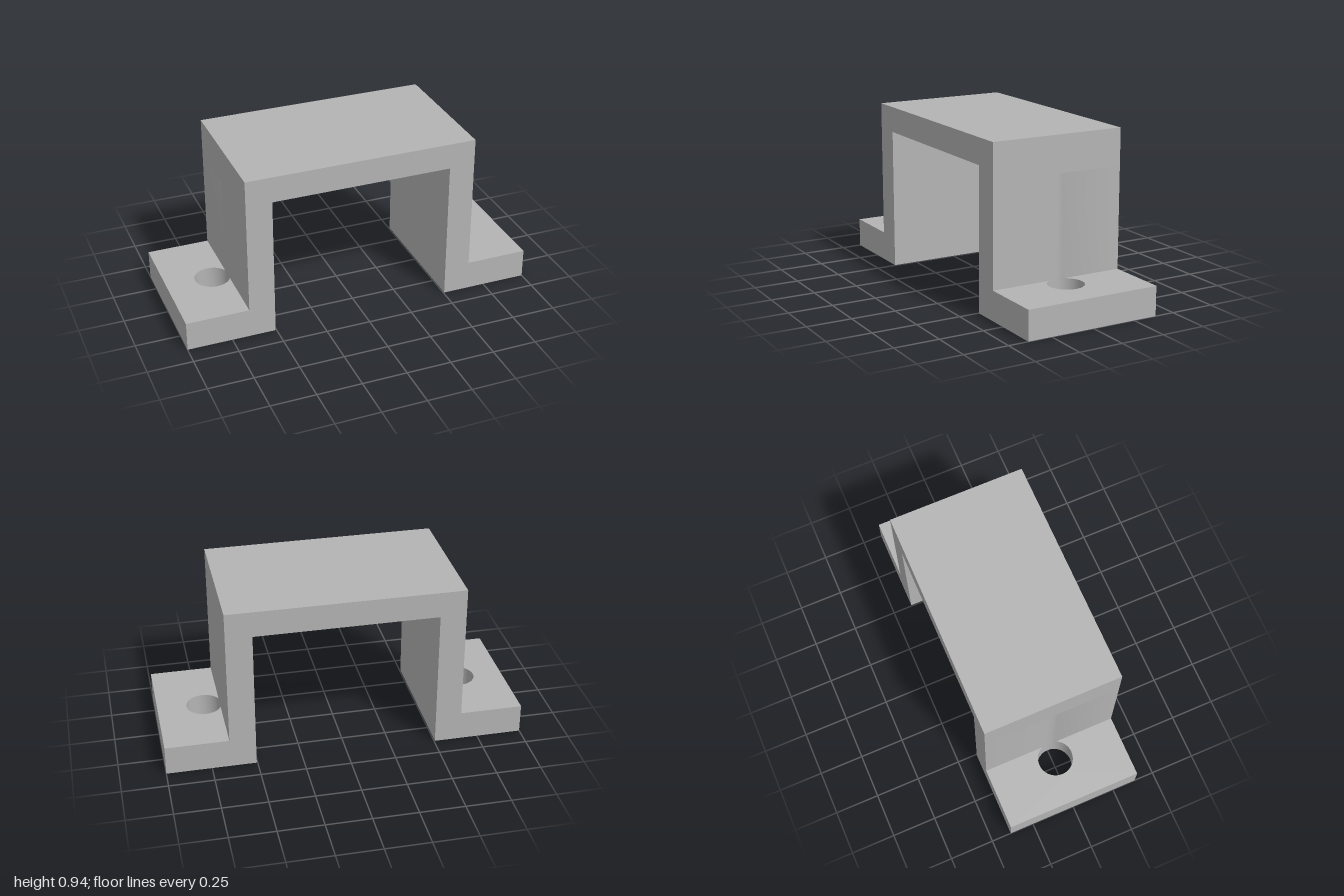
import * as THREE from 'three';
import { toCreasedNormals } from 'three/addons/utils/BufferGeometryUtils.js';

const DEPTH = 0.387;                       // half depth
const INNER = 0.505, OUTER = 0.65;         // faces of the upright walls
const FOOT = 0.165, NOTCH = 0.735, UNDER = 0.795, TOP = 0.94;
const HOLE_X = 0.738, HOLE_R = 0.0985;

const polygon = (pts) => new THREE.Shape(pts.map(([x, y]) => new THREE.Vector2(x, y)));

// Extrude a plan shape upwards from y0 to y1
function slab(shape, y0, y1) {
  const geo = new THREE.ExtrudeGeometry(shape, { depth: y1 - y0, bevelEnabled: false, curveSegments: 24 });
  geo.rotateX(-Math.PI / 2).translate(0, y0, 0);
  return toCreasedNormals(geo, 0.6);
}

export function createModel() {
  const group = new THREE.Group();
  const metal = new THREE.MeshStandardMaterial({ color: 0xb4b4b4 });
  metal.name = 'bracket grey';

  // Foot plate with a round bolt hole
  const footShape = polygon([[INNER, -DEPTH], [1, -DEPTH], [1, DEPTH], [INNER, DEPTH]]);
  const hole = new THREE.Path();
  hole.absarc(HOLE_X, 0, HOLE_R, 0, Math.PI * 2, true);
  footShape.holes.push(hole);
  const footGeo = slab(footShape, 0, FOOT);

  // Upright wall with a shallow groove continuing the hole upwards
  const half = Math.acos((HOLE_X - OUTER) / HOLE_R);
  const wallShape = new THREE.Shape();
  wallShape.moveTo(INNER, -DEPTH);
  wallShape.lineTo(OUTER, -DEPTH);
  wallShape.absarc(HOLE_X, 0, HOLE_R, Math.PI + half, Math.PI - half, true);
  wallShape.lineTo(OUTER, DEPTH);
  wallShape.lineTo(INNER, DEPTH);
  wallShape.closePath();
  const wallGeo = slab(wallShape, FOOT, NOTCH);

  // Left leg, and the right one turned half round
  for (const side of ['left', 'right']) {
    const leg = new THREE.Group();
    leg.name = side + 'Leg';
    const foot = new THREE.Mesh(footGeo, metal);
    foot.name = side + 'Foot';
    const wall = new THREE.Mesh(wallGeo, metal);
    wall.name = side + 'Wall';
    leg.add(foot, wall);
    if (side === 'right') leg.rotation.y = Math.PI;
    group.add(leg);
  }

  // Bridge across the top, with the ungrooved tops of the walls
  const bridgeGeo = new THREE.ExtrudeGeometry(polygon([
    [-OUTER, NOTCH], [-INNER, NOTCH], [-INNER, UNDER], [INNER, UNDER],
    [INNER, NOTCH], [OUTER, NOTCH], [OUTER, TOP], [-OUTER, TOP],
  ]), { depth: DEPTH * 2, bevelEnabled: false });
  bridgeGeo.translate(0, 0, -DEPTH);
  const bridge = new THREE.Mesh(bridgeGeo, metal);
  bridge.name = 'bridge';
  group.add(bridge);

  return group;
}
